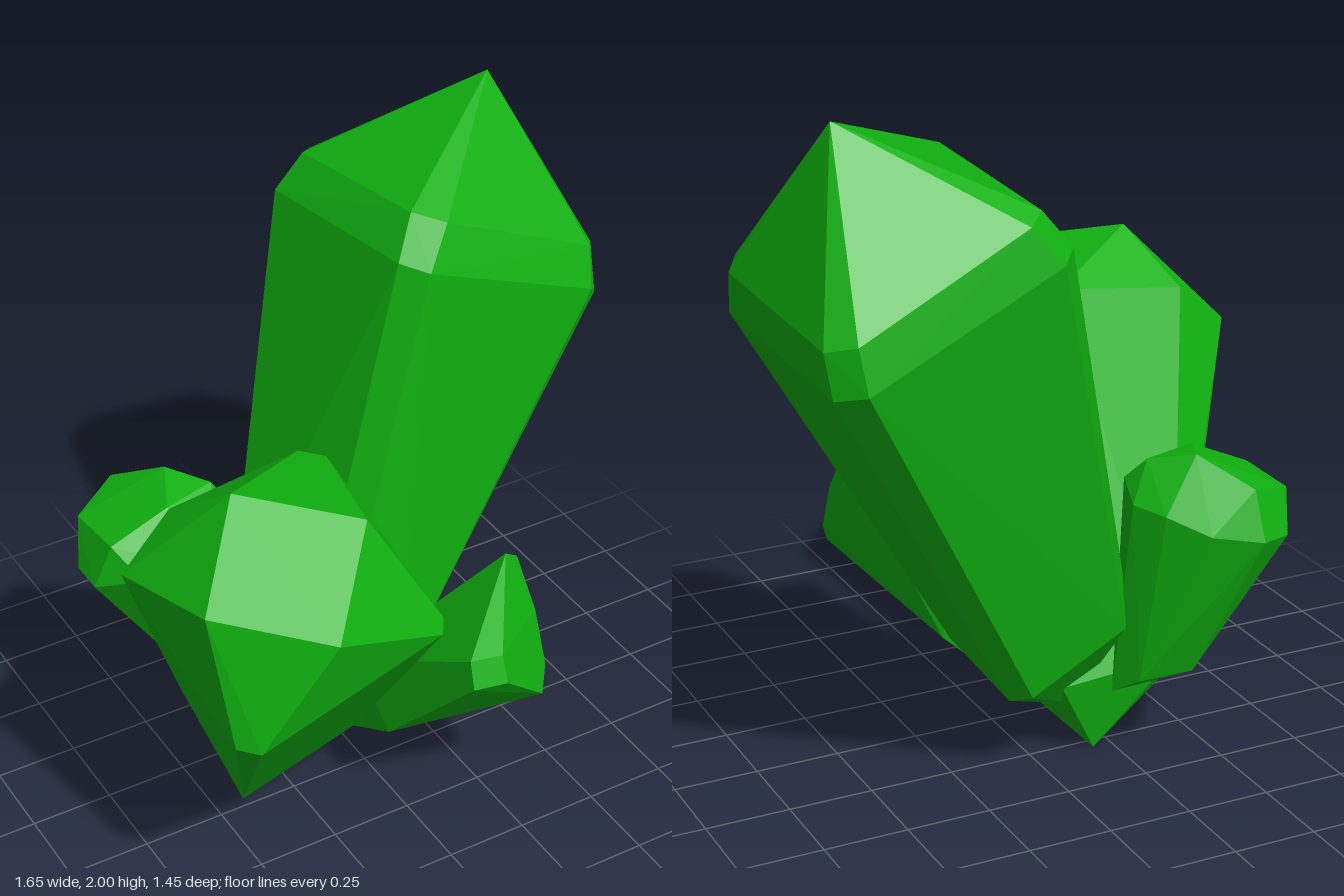
import * as THREE from 'three';
import { ConvexGeometry } from 'three/addons/geometries/ConvexGeometry.js';

const green = new THREE.MeshStandardMaterial({ color: 0x10b010, flatShading: true });
green.name = 'crystalGreen';

// A faceted crystal is the convex solid around its corner rings and tips
function crystal(name, ...rings) {
  const points = rings.flat().map(([x, y, z]) => new THREE.Vector3(x, y, z));
  const mesh = new THREE.Mesh(new ConvexGeometry(points), green);
  mesh.name = name;
  return mesh;
}

export function createModel() {
  const group = new THREE.Group();
  group.name = 'crystalCluster';

  // Tall bevelled square crystal leaning right and back
  group.add(crystal('tallCrystal',
    [[0.65, 2, -0.41], [-0.15, 0.12, -0.22]], // tips
    [[0.2, 1.82, -0.09], [0.275, 1.8, -0.02], [0.775, 1.57, -0.04], [0.82, 1.54, -0.1],
      [0.78, 1.48, -0.65], [0.71, 1.5, -0.71], [0.22, 1.74, -0.685], [0.165, 1.765, -0.63]], // shoulder
    [[0.125, 1.71, -0.03], [0.19, 1.69, 0.035], [0.76, 1.45, 0], [0.8, 1.41, -0.04],
      [0.76, 1.35, -0.66], [0.69, 1.37, -0.727], [0.13, 1.63, -0.7], [0.08, 1.66, -0.645]], // shaft top
    [[-0.19, 0.48, -0.01], [-0.13, 0.46, 0.05], [0.09, 0.32, 0.05], [0.14, 0.3, -0.01],
      [0.13, 0.26, -0.38], [0.08, 0.28, -0.43], [-0.22, 0.43, -0.42], [-0.26, 0.45, -0.36]])); // shaft foot

  // Wide crystal leaning left and forward
  group.add(crystal('wideCrystal',
    [[-0.58, 1.39, 0.29], [-0.29, 1.33, 0.5], [-0.5, 1.14, 0.72], [-0.78, 1.2, 0.51]], // cap
    [[-0.83, 1.11, 0.12], [-0.66, 1.24, 0.08], [-0.26, 1.29, 0.08], [-0.2, 1.28, 0.13],
      [-0.11, 1, 0.6], [-0.13, 0.97, 0.63], [-0.7, 0.81, 0.65], [-0.75, 0.815, 0.6]], // shaft top
    [[-0.44, 0.06, 0.03], [-0.04, 0.15, 0], [-0.06, 0.24, -0.34], [-0.42, 0.27, -0.35],
      [-0.46, 0.24, -0.31], [-0.19, 0, -0.29]])); // foot

  // Small rounded crystal at the back left
  group.add(crystal('smallBackCrystal',
    [[-0.51, 0.875, -0.62], [-0.4, 0.95, -0.48], [-0.3, 0.92, -0.38], [-0.47, 0.92, -0.33],
      [-0.65, 0.84, -0.34], [-0.66, 0.83, -0.54]], // cap
    [[-0.62, 0.72, -0.62], [-0.52, 0.73, -0.665], [-0.37, 0.76, -0.63], [-0.28, 0.8, -0.53],
      [-0.23, 0.81, -0.43], [-0.26, 0.85, -0.32], [-0.35, 0.83, -0.24], [-0.49, 0.8, -0.22],
      [-0.6, 0.76, -0.24], [-0.7, 0.7, -0.36], [-0.7, 0.7, -0.47]], // shaft top
    [[-0.4, 0.29, -0.49], [-0.24, 0.28, -0.47], [-0.2, 0.22, -0.38], [-0.42, 0.28, -0.36],
      [-0.28, 0.3, -0.27]])); // foot

  // Small crystal at the front
  group.add(crystal('smallFrontCrystal',
    [[0.015, 0.76, 0.55], [0.01, 0.68, 0.58], [0.115, 0.67, 0.59], [0.115, 0.75, 0.56],
      [0.29, 0.87, 0.3], [0.35, 0.82, 0.27], [0.36, 0.68, 0.36], [0.355, 0.53, 0.43],
      [0.33, 0.47, 0.46], [0.3, 0.49, 0.5]], // head
    [[-0.06, 0.31, 0.24], [-0.04, 0.15, 0], [0.03, 0.18, 0.02], [0.14, 0.28, 0.04],
      [0.12, 0.42, 0.02], [-0.05, 0.42, 0.02]])); // foot

  return group;
}
